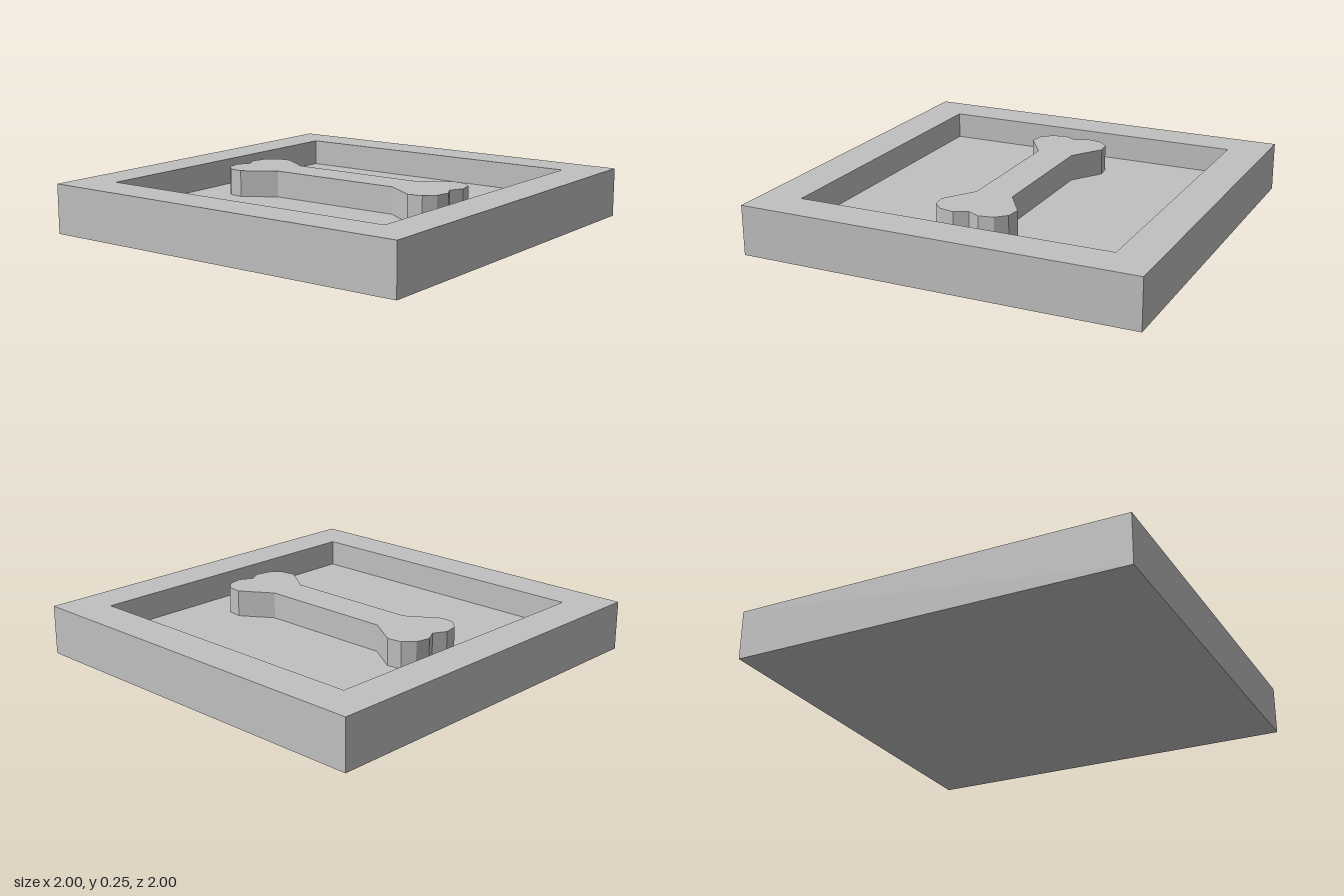
import * as THREE from 'three';

const HEIGHT = 0.25;
const FLOOR = 0.115;

// Extrudes a plan outline upward from y0 to y1.
function prism(name, shape, y0, y1, material) {
  const geometry = new THREE.ExtrudeGeometry(shape, { depth: y1 - y0, bevelEnabled: false });
  geometry.rotateX(-Math.PI / 2).translate(0, y0, 0);
  const mesh = new THREE.Mesh(geometry, material);
  mesh.name = name;
  return mesh;
}

const squarePoints = (h) =>
  [[-h, -h], [h, -h], [h, h], [-h, h]].map(([x, y]) => new THREE.Vector2(x, y));

// Bone outline: one quarter, mirrored into all four corners.
function boneShape() {
  const quarter = [[0.62, 0], [0.655, 0.065], [0.64, 0.14], [0.59, 0.19], [0.515, 0.2], [0.355, 0.095]];
  const upper = [...quarter, ...quarter.slice().reverse().map(([x, y]) => [-x, y])];
  const lower = upper.slice(1, -1).reverse().map(([x, y]) => [x, -y]);
  return new THREE.Shape([...upper, ...lower].map(([x, y]) => new THREE.Vector2(x, y)));
}

export function createModel() {
  const group = new THREE.Group();
  group.name = 'boneTile';
  const grey = new THREE.MeshStandardMaterial({ color: 0xc0c0c0 });
  grey.name = 'grey';

  // Square rim around the recess
  const rim = new THREE.Shape(squarePoints(1));
  rim.holes.push(new THREE.Path(squarePoints(0.8).reverse()));
  group.add(prism('rim', rim, 0, HEIGHT, grey));

  // Recessed floor
  group.add(prism('floor', new THREE.Shape(squarePoints(0.8)), 0, FLOOR, grey));

  // Raised bone, level with the rim
  group.add(prism('bone', boneShape(), FLOOR, HEIGHT, grey));

  return group;
}
